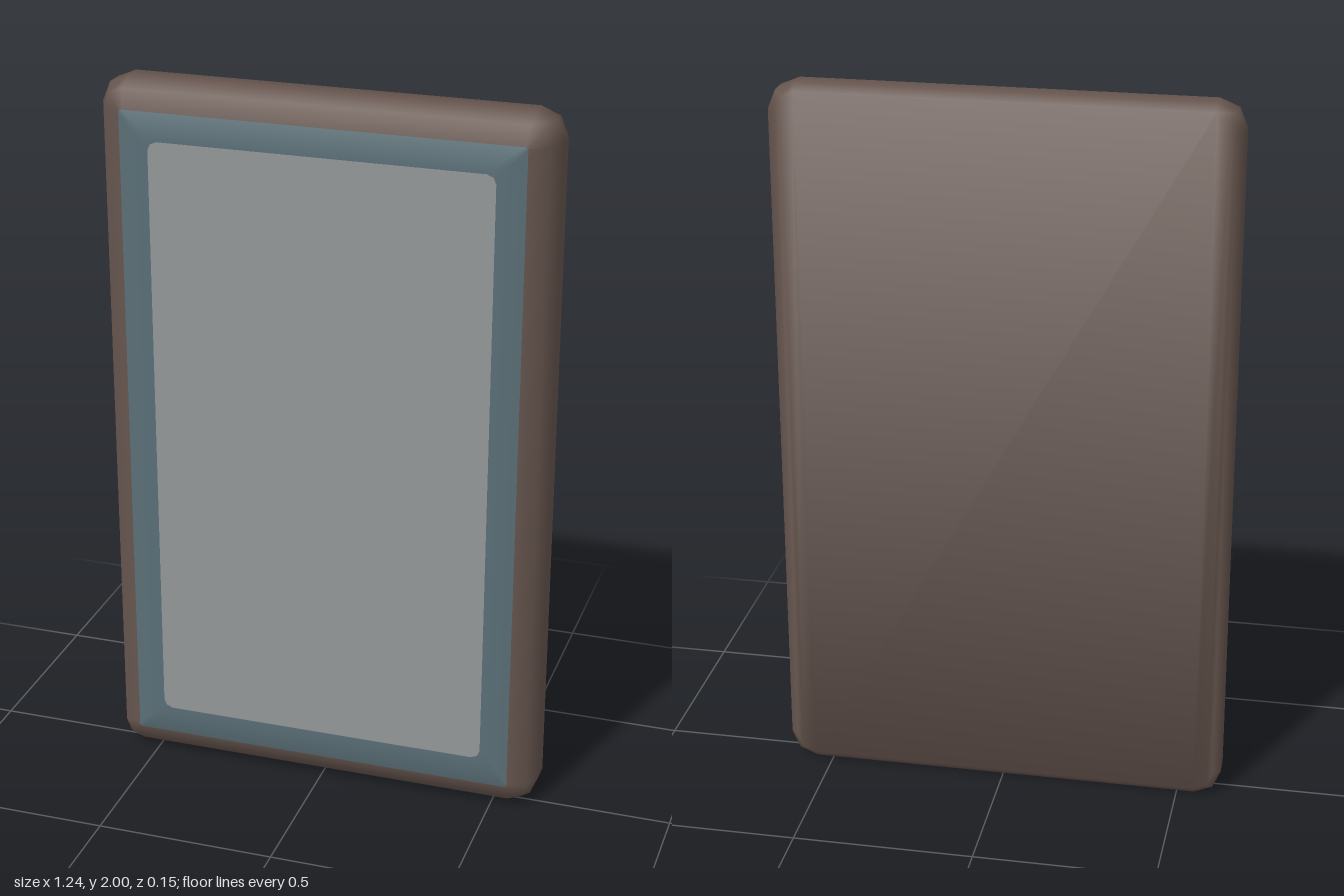
import * as THREE from 'three';

const HALF_W = 0.622, HALF_H = 1, SEG = 2;

// Cross-sections from back to front: depth, inset, corner radius, tilt of the smooth normal (degrees)
const RINGS = [
  { z: -0.075, inset: 0.022, r: 0.052, tilt: -62 },
  { z: -0.055, inset: 0, r: 0.074, tilt: -22 },
  { z: 0, inset: 0, r: 0.074, tilt: 12 },
  { z: 0.05, inset: 0.022, r: 0.052, tilt: 45 },
  { z: 0.074, inset: 0.073, r: 0.008, tilt: 74 },
  { z: 0.075, inset: 0.152, r: 0.025, tilt: 90 },
];
const N = 4 * (SEG + 1);

// Rounded rectangle loop, counter-clockwise seen from the front
function addRing({ z, inset, r, tilt }, positions, normals) {
  const t = THREE.MathUtils.degToRad(tilt);
  for (let c = 0; c < 4; c++) {
    const sx = c === 0 || c === 3 ? 1 : -1, sy = c < 2 ? 1 : -1;
    for (let s = 0; s <= SEG; s++) {
      const a = (c + s / SEG) * Math.PI / 2;
      const dx = Math.cos(a), dy = Math.sin(a);
      positions.push(sx * (HALF_W - inset - r) + dx * r, 1 + sy * (HALF_H - inset - r) + dy * r, z);
      normals.push(dx * Math.cos(t), dy * Math.cos(t), Math.sin(t));
    }
  }
}

// Surface through a run of rings, optionally closed at the back or the front
function loft(rings, { capBack = false, capFront = false } = {}) {
  const positions = [], normals = [], index = [];
  rings.forEach((ring) => addRing(ring, positions, normals));
  const quad = (a, b, c, d) => index.push(a, b, c, a, c, d);
  for (let k = 0; k < rings.length - 1; k++) {
    for (let i = 0; i < N; i++) {
      const j = (i + 1) % N;
      quad(k * N + i, k * N + j, (k + 1) * N + j, (k + 1) * N + i);
    }
  }
  // Caps are vertical strips joining the upper and lower halves of a loop
  const last = (rings.length - 1) * N;
  for (let i = 0; i < N / 2 - 1; i++) {
    if (capBack) quad(N - 1 - i, N - 2 - i, i + 1, i);
    if (capFront) quad(last + i, last + i + 1, last + N - 2 - i, last + N - 1 - i);
  }
  const geometry = new THREE.BufferGeometry();
  geometry.setAttribute('position', new THREE.Float32BufferAttribute(positions, 3));
  geometry.setAttribute('normal', new THREE.Float32BufferAttribute(normals, 3));
  geometry.setIndex(index);
  return geometry;
}

export function createModel() {
  const model = new THREE.Group();
  model.name = 'tablet';
  const add = (name, geometry, colorName, color) => {
    const material = new THREE.MeshStandardMaterial({ color });
    material.name = colorName;
    const mesh = new THREE.Mesh(geometry, material);
    mesh.name = name;
    model.add(mesh);
  };

  // Rounded casing with a closed back
  add('casing', loft(RINGS.slice(0, 5), { capBack: true }), 'dark brown', 0x66554e);
  // Border around the display
  add('bezel', loft(RINGS.slice(4)), 'slate blue', 0x5a6f77);
  // Flat display
  add('screen', loft(RINGS.slice(5), { capFront: true }), 'grey', 0x949798);
  return model;
}
